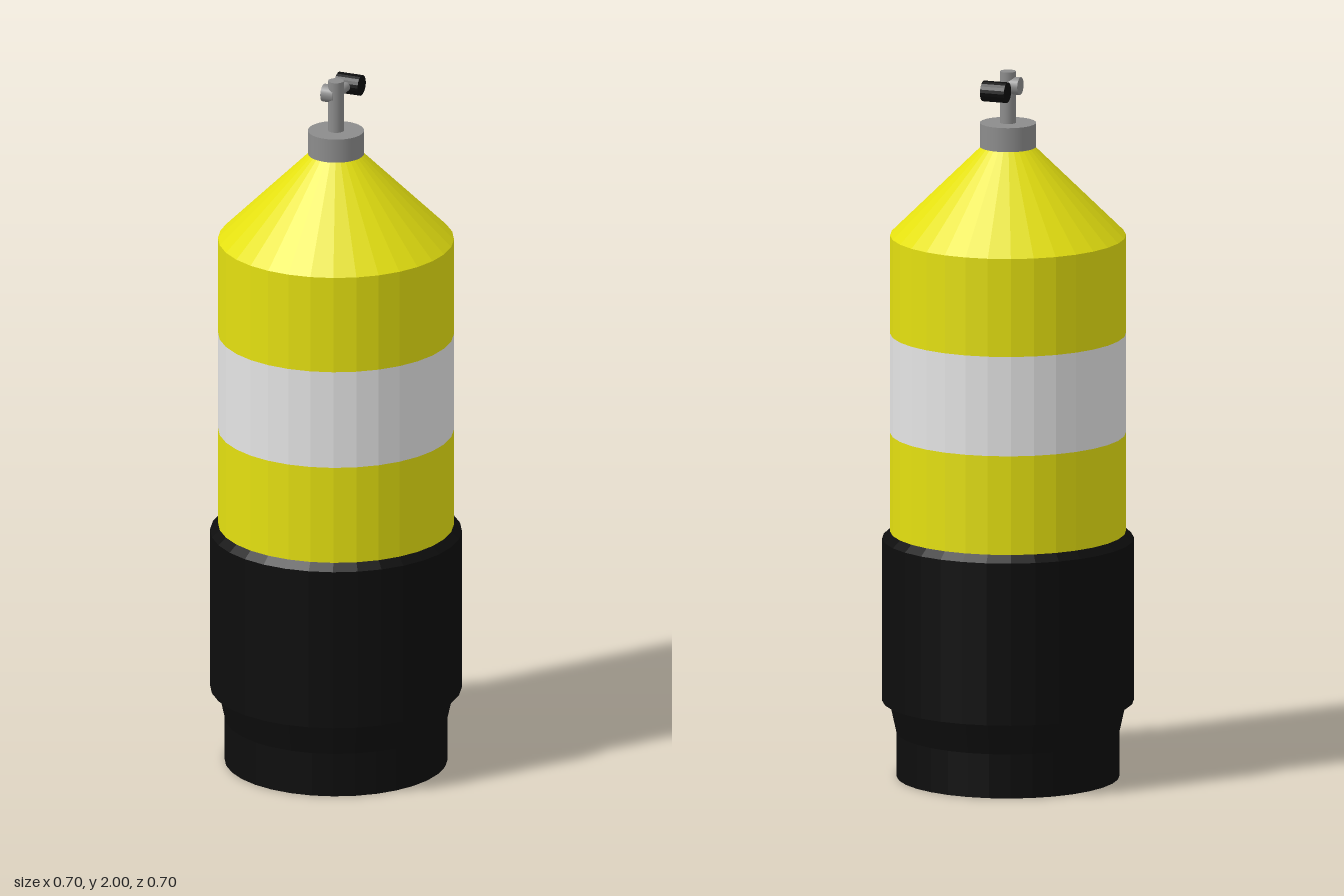
import * as THREE from 'three';

export function createModel() {
  const group = new THREE.Group();
  group.name = 'gasCylinder';

  const material = (name, color, extra = {}) => {
    const m = new THREE.MeshStandardMaterial({ color, ...extra });
    m.name = name;
    return m;
  };
  const yellow = material('yellow paint', 0xe4e010, { flatShading: true });
  const white = material('white paint', 0xe4e4e4, { flatShading: true });
  const black = material('black rubber', 0x0d0d0d, { flatShading: true });
  const grey = material('grey metal', 0x8c8c8c);

  const add = (name, geometry, mat, x = 0, y = 0, z = 0) => {
    const mesh = new THREE.Mesh(geometry, mat);
    mesh.name = name;
    mesh.position.set(x, y, z);
    group.add(mesh);
    return mesh;
  };
  // Turned part from [radius, height] pairs, listed from bottom to top
  const turned = (name, mat, points) =>
    add(name, new THREE.LatheGeometry(points.map(([r, y]) => new THREE.Vector2(r, y)), 32), mat);

  // Rubber boot and sleeve
  turned('boot', black, [[0, 0], [0.31, 0], [0.31, 0.125], [0.33, 0.215]]);
  turned('sleeve', black, [[0.33, 0.215], [0.337, 0.215]]);
  turned('sleeveLowerRim', yellow, [[0.337, 0.215], [0.35, 0.215]]);
  turned('sleeveWall', black, [[0.35, 0.215], [0.35, 0.675], [0.328, 0.695]]);

  // Painted tank with a white band and conical shoulder
  turned('lowerTank', yellow, [[0.328, 0.69], [0.328, 0.975]]);
  turned('whiteBand', white, [[0.328, 0.975], [0.328, 1.257]]);
  turned('upperTank', yellow, [[0.328, 1.257], [0.328, 1.535]]);
  turned('shoulder', yellow, [[0.328, 1.535], [0.07, 1.79]]);

  // Valve collar and stem
  add('collar', new THREE.CylinderGeometry(0.078, 0.078, 0.068, 48), grey, 0, 1.82, 0);
  add('valveStem', new THREE.CylinderGeometry(0.022, 0.022, 0.15, 24), grey, 0, 1.925, 0);

  // Side outlet, tap shaft and tap knob
  const outlet = add('outlet', new THREE.CylinderGeometry(0.025, 0.025, 0.037, 20), grey, -0.0185, 1.96, 0);
  outlet.rotation.z = Math.PI / 2;
  const shaft = add('tapShaft', new THREE.CylinderGeometry(0.013, 0.013, 0.09, 16), grey, 0, 1.96, -0.045);
  shaft.rotation.x = Math.PI / 2;
  const knob = add('tapKnob', new THREE.CylinderGeometry(0.029, 0.029, 0.071, 20), black, 0, 1.96, -0.096);
  knob.rotation.z = Math.PI / 2;

  return group;
}
